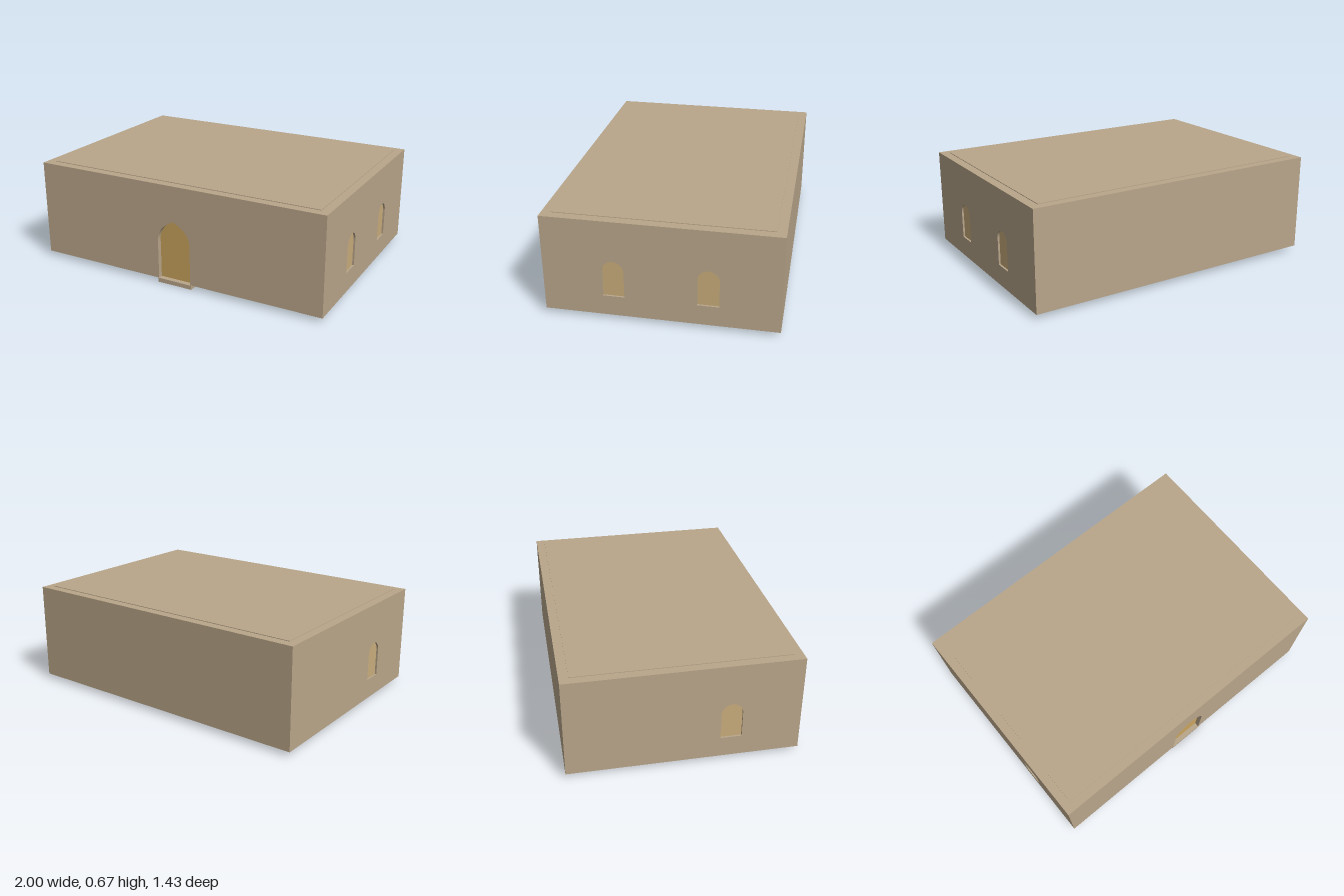
import * as THREE from 'three';

const HX = 1, HZ = 0.715;          // half width and half depth of the outer walls
const Y0 = 0.03, Y1 = 0.663;       // bottom and top of the walls
const T = 0.057;                   // wall thickness

const mat = (name, color) => Object.assign(new THREE.MeshStandardMaterial({ color }), { name });

// Slightly pointed door opening, from left foot over the apex to the right foot
function doorOutline(path, start) {
  path[start](-0.115, Y0);
  path.lineTo(-0.115, 0.29);
  path.bezierCurveTo(-0.115, 0.36, -0.06, 0.405, 0, 0.43);
  path.bezierCurveTo(0.06, 0.405, 0.115, 0.36, 0.115, 0.29);
  path.lineTo(0.115, Y0);
  return path;
}

// Round-headed window opening centred on u
function windowOutline(path, u) {
  const r = 0.066;
  path.moveTo(u - r, 0.162);
  path.lineTo(u + r, 0.162);
  path.lineTo(u + r, 0.334);
  path.absarc(u, 0.334, r, 0, Math.PI, false);
  path.lineTo(u - r, 0.162);
  return path;
}

export function createModel() {
  const group = new THREE.Group();
  group.name = 'building';
  const stone = mat('stone', 0xb9a68a);
  const doorWood = mat('door ochre', 0xc9a35c);
  const pane = mat('window tan', 0xc9ad7c);

  const add = (name, geometry, material, parent = group) => {
    const mesh = new THREE.Mesh(geometry, material);
    mesh.name = name;
    parent.add(mesh);
    return mesh;
  };
  const extrude = (shape, depth) =>
    new THREE.ExtrudeGeometry(shape, { depth, bevelEnabled: false, curveSegments: 16 });

  // A wall whose outer face lies at z = 0 of its own group
  function wall(name, half, windows = [], hasDoor = false) {
    const g = new THREE.Group();
    g.name = name;
    const s = new THREE.Shape();
    s.moveTo(-half, Y0);
    if (hasDoor) doorOutline(s, 'lineTo');
    s.lineTo(half, Y0);
    s.lineTo(half, Y1);
    s.lineTo(-half, Y1);
    s.closePath();
    for (const u of windows) s.holes.push(windowOutline(new THREE.Path(), u));
    add(name + 'Stone', extrude(s, T), stone, g).position.z = -T;

    // Recessed window panes and door leaf
    for (const u of windows)
      add('windowPane', extrude(windowOutline(new THREE.Shape(), u), 0.008), pane, g).position.z = -0.02;
    if (hasDoor)
      add('door', extrude(doorOutline(new THREE.Shape(), 'moveTo'), 0.009), doorWood, g).position.z = -0.04;
    group.add(g);
    return g;
  }

  // Front and back walls span the full width; side walls fit between them
  wall('frontWall', HX, [], true).position.z = HZ;
  const back = wall('backWall', HX);
  back.rotation.y = Math.PI;
  back.position.z = -HZ;
  const left = wall('leftWall', HZ - T, [-0.285, 0.285]);
  left.rotation.y = Math.PI / 2;
  left.position.x = HX;
  const right = wall('rightWall', HZ - T, [0.285]);
  right.rotation.y = -Math.PI / 2;
  right.position.x = -HX;

  // Inner block: floor slab below the walls and roof slab just above them
  const top = 0.667;
  add('floorAndRoof', new THREE.BoxGeometry(2 * (HX - T), top, 2 * (HZ - T)), stone)
    .position.y = top / 2;

  // Threshold step under the door
  add('doorStep', new THREE.BoxGeometry(0.244, 0.028, T), stone)
    .position.set(0, 0.014, HZ - T / 2);

  return group;
}
